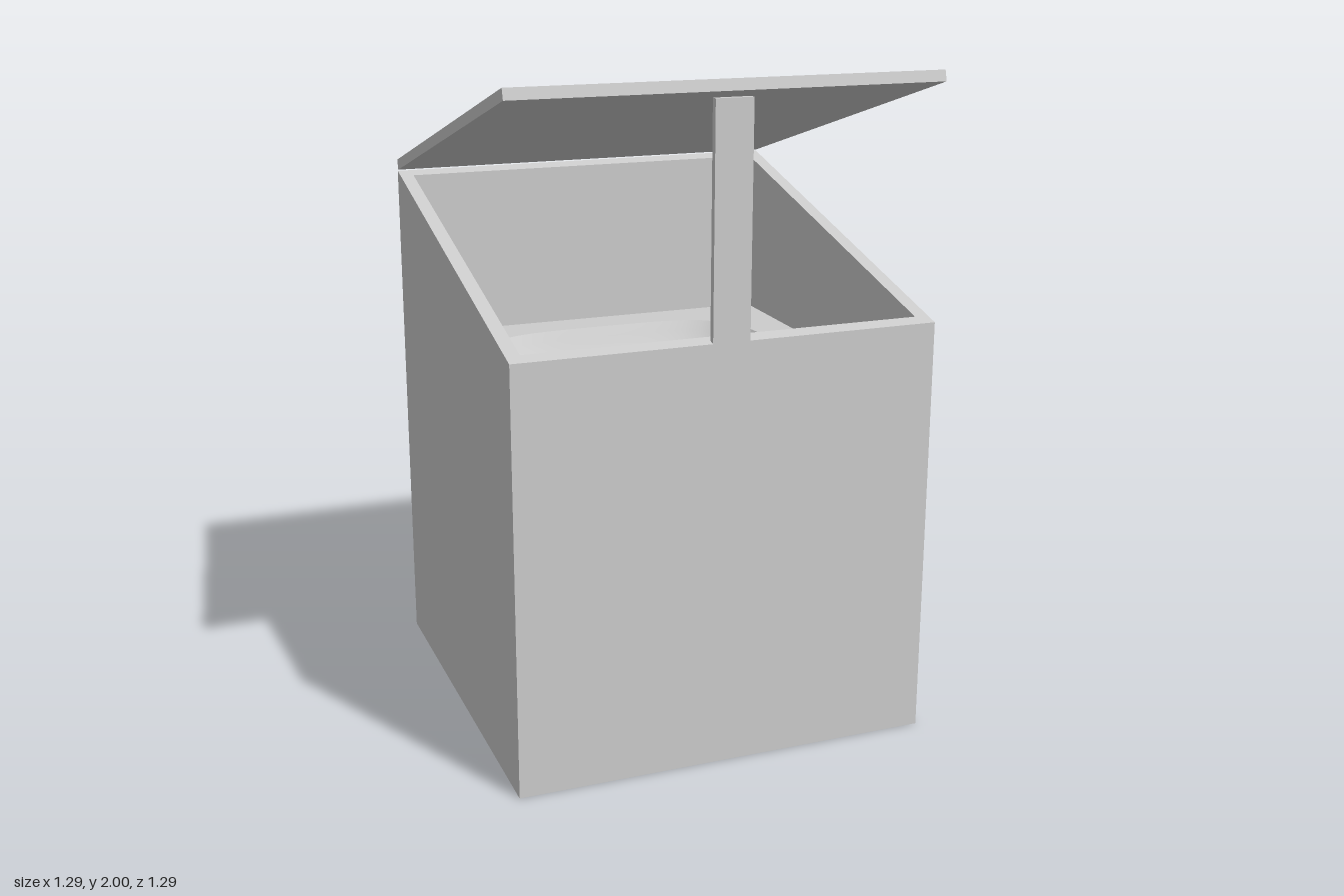
import * as THREE from 'three';

const HALF = 0.637;          // half the side of the square box
const INNER = HALF - 0.042;  // half the side of the cavity
const FRONT_Y = 1.28, BACK_Y = 1.6, FLOOR_Y = 1.06;

const grey = new THREE.MeshStandardMaterial({ color: 0xcccccc });
grey.name = 'light grey';

const square = (h, Type = THREE.Shape) => {
  const s = new Type();
  s.moveTo(-h, -h).lineTo(h, -h).lineTo(h, h).lineTo(-h, h).closePath();
  return s;
};

// Radius multiplier that turns a circle into a rounded square
const roundedSquare = (a) =>
  Math.pow(Math.pow(Math.abs(Math.cos(a)), 4) + Math.pow(Math.abs(Math.sin(a)), 4), -0.25);

export function createModel() {
  const model = new THREE.Group();
  model.name = 'lidded bin';
  const add = (name, geometry, x = 0, y = 0, z = 0) => {
    const mesh = new THREE.Mesh(geometry, grey);
    mesh.name = name;
    mesh.position.set(x, y, z);
    model.add(mesh);
    return mesh;
  };

  // Walls: a square tube whose top rim slopes up towards the back
  const ring = square(HALF);
  ring.holes.push(square(INNER, THREE.Path));
  const walls = new THREE.ExtrudeGeometry(ring, { depth: 1, bevelEnabled: false });
  walls.rotateX(-Math.PI / 2);
  const p = walls.attributes.position;
  for (let i = 0; i < p.count; i++) {
    if (p.getY(i) > 0.5) {
      const t = (HALF - p.getZ(i)) / (2 * HALF);
      p.setY(i, FRONT_Y + (BACK_Y - FRONT_Y) * t);
    }
  }
  walls.computeVertexNormals();
  add('walls', walls);

  // Underside
  add('base', new THREE.BoxGeometry(2 * INNER, 0.04, 2 * INNER), 0, 0.02, 0);

  // Inner shelf with a rounded opening for the basin
  const RIM = 0.47, STEPS = 64;
  const shelf = square(INNER);
  const hole = [];
  for (let i = 0; i < STEPS; i++) {
    const a = (i / STEPS) * Math.PI * 2, r = RIM * roundedSquare(a);
    hole.push(new THREE.Vector2(r * Math.cos(a), r * Math.sin(a)));
  }
  shelf.holes.push(new THREE.Path(hole));
  add('shelf', new THREE.ShapeGeometry(shelf).rotateX(-Math.PI / 2), 0, FLOOR_Y, 0);

  // Basin: a lathed dish squared off by the same rule
  const profile = [[RIM, 0], [0.45, -0.03], [0.42, -0.08], [0.39, -0.11], [0.34, -0.125], [0, -0.125]]
    .map(([r, y]) => new THREE.Vector2(r, y));
  const basin = new THREE.LatheGeometry(profile, STEPS);
  const b = basin.attributes.position;
  for (let i = 0; i < b.count; i++) {
    const f = roundedSquare(Math.atan2(b.getZ(i), b.getX(i)));
    b.setX(i, b.getX(i) * f);
    b.setZ(i, b.getZ(i) * f);
  }
  basin.computeVertexNormals();
  add('basin', basin, 0, FLOOR_Y, 0);

  // Prop standing flush with the front wall
  const propTop = 1.95;
  add('prop', new THREE.BoxGeometry(0.112, propTop - FRONT_Y, 0.02),
    0, (propTop + FRONT_Y) / 2, HALF - 0.01);

  // Raised lid
  const lid = add('lid', new THREE.BoxGeometry(2 * HALF, 0.033, 1.318), 0, 1.8025, 0);
  lid.rotation.x = -THREE.MathUtils.degToRad(16);

  // The whole model is turned very slightly
  model.rotation.y = -0.012;
  return model;
}
